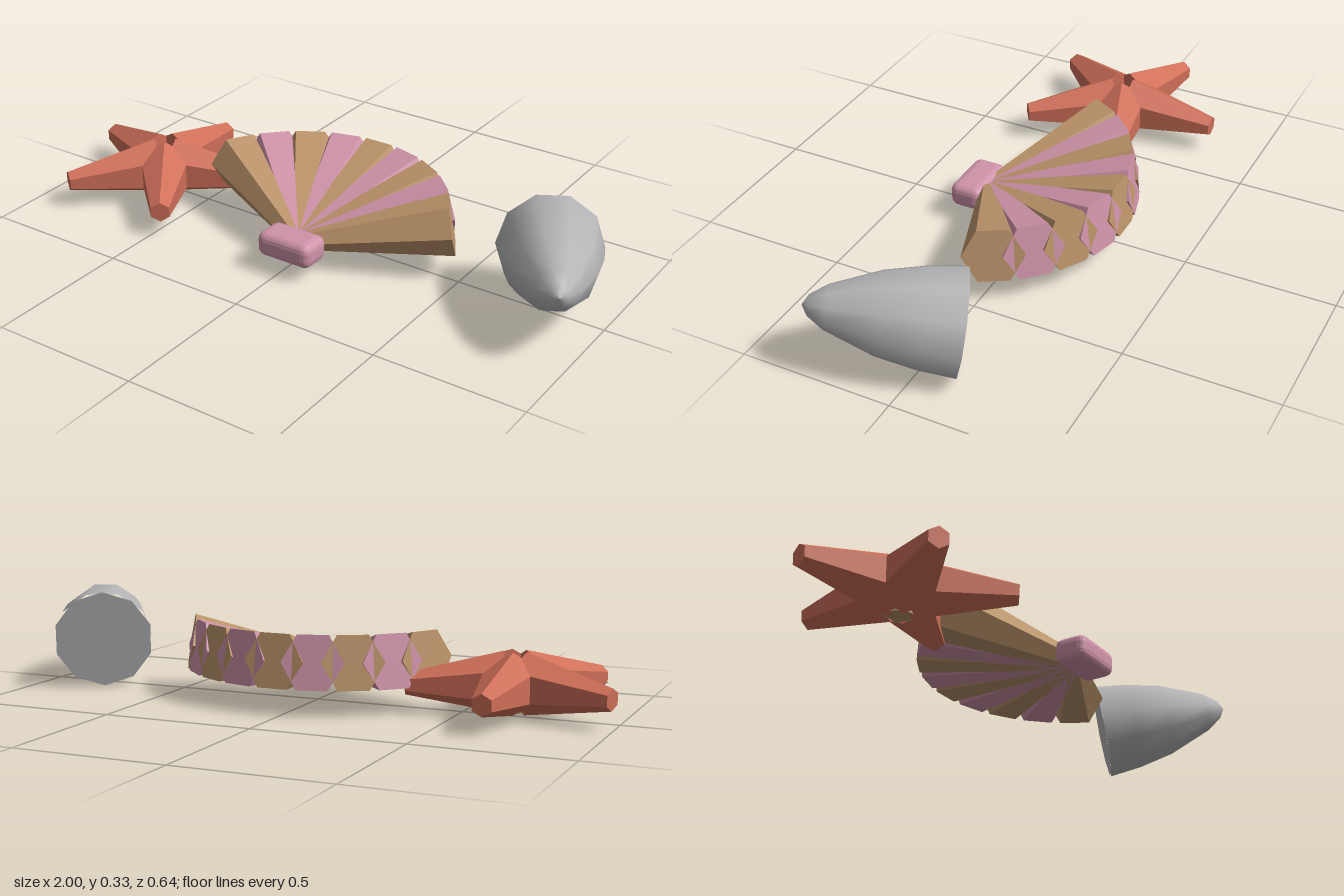
import * as THREE from 'three';
import { RoundedBoxGeometry } from 'three/addons/geometries/RoundedBoxGeometry.js';

const V = (x, y, z) => new THREE.Vector3(x, y, z);

function makeMaterial(name, color, flatShading = false) {
  const m = new THREE.MeshStandardMaterial({ color, flatShading });
  m.name = name;
  return m;
}

// Places a geometry built along +y so that it runs from one point towards another
function alongAxis(geometry, from, to) {
  const y = to.clone().sub(from).normalize();
  const x = V(0, 1, 0).cross(y).normalize();
  const z = x.clone().cross(y);
  return geometry.applyMatrix4(new THREE.Matrix4().makeBasis(x, y, z).setPosition(from));
}

// Tapered prism between two points, turned about its axis by spin
function taper(from, to, r0, r1, sides, spin = 0) {
  const length = from.distanceTo(to);
  const g = new THREE.CylinderGeometry(r1, r0, length, sides);
  g.rotateY(spin).translate(0, length / 2, 0);
  return alongAxis(g, from, to);
}

export function createModel() {
  const coral = makeMaterial('coral red', 0xcf6f59, true);
  const sand = makeMaterial('sand tan', 0xbc946a, true);
  const pink = makeMaterial('shell pink', 0xcf93aa, true);
  const grey = makeMaterial('shell grey', 0xb5b5b8);

  const model = new THREE.Group();
  model.name = 'seashells';
  const add = (parent, name, geometry, material) => {
    const mesh = new THREE.Mesh(geometry, material);
    mesh.name = name;
    parent.add(mesh);
    return mesh;
  };
  const group = (name) => {
    const g = new THREE.Group();
    g.name = name;
    model.add(g);
    return g;
  };

  // Starfish: five hexagonal arms around a small core
  const starfish = group('starfish');
  for (let i = 0; i < 5; i++) {
    const a = (i / 5) * Math.PI * 2;
    const at = (d, y) => V(-0.665 + Math.sin(a) * d, y, 0.022 - Math.cos(a) * d);
    add(starfish, 'starfishArm', taper(at(0.035, 0.1), at(0.345, 0.09), 0.1, 0.035, 6), coral);
  }
  const core = new THREE.CylinderGeometry(0.045, 0.045, 0.12, 8).translate(-0.665, 0.068, 0.022);
  add(starfish, 'starfishCore', core, sand);

  // Fan shell: nine overlapping ribs in alternating colours, rising to the rim
  const fan = group('fanShell');
  for (let i = 0; i < 9; i++) {
    const a = THREE.MathUtils.degToRad((i - 4) * 15);
    const tip = V(0.025 + Math.sin(a) * 0.485, 0.168, 0.2 - Math.cos(a) * 0.485);
    const rib = taper(V(0.025, 0.09, 0.2), tip, 0.03, 0.1, 6, Math.PI / 6);
    add(fan, 'fanRib', rib, i % 2 ? pink : sand);
  }
  const hinge = new RoundedBoxGeometry(0.2, 0.084, 0.115, 2, 0.028).translate(0.025, 0.092, 0.239);
  add(fan, 'fanHinge', hinge, pink);

  // Pointed shell: smooth ten-sided ogive with a flat base
  const pointed = group('pointedShell');
  const base = V(0.755, 0.163, -0.105), tip = V(0.975, 0.245, 0.287);
  const length = base.distanceTo(tip), spin = Math.PI / 10;
  const profile = [[0.168, 0], [0.155, 0.25], [0.128, 0.52], [0.068, 0.85], [0.032, 0.96], [0, 1]]
    .map(([r, t]) => new THREE.Vector2(r, t * length));
  const body = new THREE.LatheGeometry(profile, 10).rotateY(spin);
  add(pointed, 'pointedShellBody', alongAxis(body, base, tip), grey);
  const cap = new THREE.CircleGeometry(0.168, 10).rotateX(Math.PI / 2).rotateY(Math.PI / 2 + spin * 2 - spin * 2);
  add(pointed, 'pointedShellBase', alongAxis(cap, base, tip), grey);

  return model;
}
